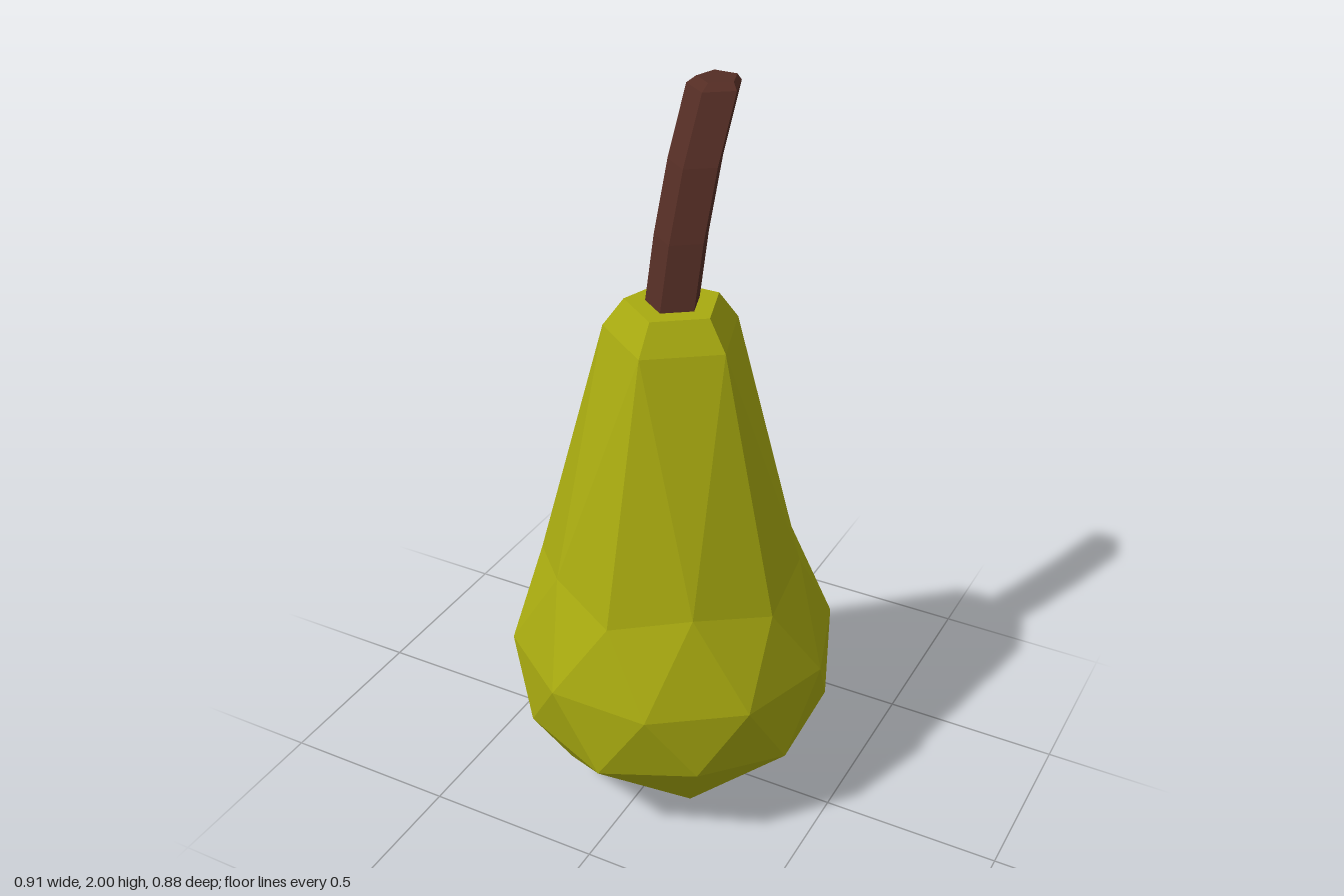
import * as THREE from 'three';

const fruitMaterial = new THREE.MeshStandardMaterial({ color: 0xa8aa10, flatShading: true });
fruitMaterial.name = 'pear green';
const stemMaterial = new THREE.MeshStandardMaterial({ color: 0x542d24, flatShading: true });
stemMaterial.name = 'stem brown';

// Ring of points: returns a function of the angle step (18 degrees each, 0 = front, turning to +x)
const ring = (radius, y, z = 0) => (step) => {
  const a = (step * Math.PI) / 10;
  return [radius * Math.sin(a), y, z + radius * Math.cos(a)];
};

function makeMesh(name, triangles, material) {
  const geometry = new THREE.BufferGeometry();
  geometry.setAttribute('position', new THREE.Float32BufferAttribute(triangles.flat(2), 3));
  geometry.computeVertexNormals();
  const mesh = new THREE.Mesh(geometry, material);
  mesh.name = name;
  return mesh;
}

// Fruit: a once-divided icosahedron with its top pulled up into a five-sided neck
function createFruit() {
  const top = ring(0.13, 1.48);
  const neck = ring(0.187, 1.4);
  const shoulder = ring(0.375, 0.69);
  const shoulderMid = ring(0.35, 0.73);
  const belly = ring(0.455, 0.47);
  const lowMid = ring(0.44, 0.25);
  const low = ring(0.44, 0.28);
  const base = ring(0.327, 0.1);
  const tip = [0, 0.003, 0];
  const crown = [0, 1.48, 0];
  const t = [];
  for (let s = 0; s < 20; s += 4) {
    t.push(
      // crown and neck
      [top(s), top(s + 4), crown],
      [neck(s), neck(s + 4), top(s + 4)],
      [neck(s), top(s + 4), top(s)],
      [shoulder(s), shoulderMid(s + 2), neck(s)],
      [shoulderMid(s + 2), neck(s + 4), neck(s)],
      [shoulderMid(s + 2), shoulder(s + 4), neck(s + 4)],
      // upper belly
      [belly(s - 1), belly(s + 1), shoulder(s)],
      [belly(s + 1), shoulderMid(s + 2), shoulder(s)],
      [belly(s + 1), belly(s + 3), shoulderMid(s + 2)],
      [belly(s + 3), shoulder(s + 4), shoulderMid(s + 2)],
      // lower belly
      [lowMid(s), belly(s + 1), belly(s - 1)],
      [lowMid(s), low(s + 2), belly(s + 1)],
      [low(s + 2), belly(s + 3), belly(s + 1)],
      [low(s + 2), lowMid(s + 4), belly(s + 3)],
      // underside
      [base(s + 2), low(s + 2), lowMid(s)],
      [base(s + 2), lowMid(s + 4), low(s + 2)],
      [base(s + 2), base(s + 6), lowMid(s + 4)],
      [tip, base(s + 6), base(s + 2)],
    );
  }
  return makeMesh('fruit', t, fruitMaterial);
}

// Stem: five-sided sections leaning backwards, with a bevelled cut end
function createStem() {
  const sections = [
    ring(0.074, 1.478, 0.001),
    ring(0.074, 1.645, -0.048),
    ring(0.074, 1.82, -0.122),
    ring(0.074, 1.985, -0.222),
    ring(0.055, 2, -0.235),
  ];
  const t = [];
  for (let s = 0; s < 20; s += 4) {
    for (let i = 0; i < sections.length - 1; i++) {
      const [a, b] = [sections[i], sections[i + 1]];
      t.push([a(s), a(s + 4), b(s + 4)], [a(s), b(s + 4), b(s)]);
    }
    t.push([sections[4](s), sections[4](s + 4), [0, 2, -0.235]]);
  }
  return makeMesh('stem', t, stemMaterial);
}

export function createModel() {
  const model = new THREE.Group();
  model.name = 'pear';
  model.add(createFruit(), createStem());
  return model;
}
